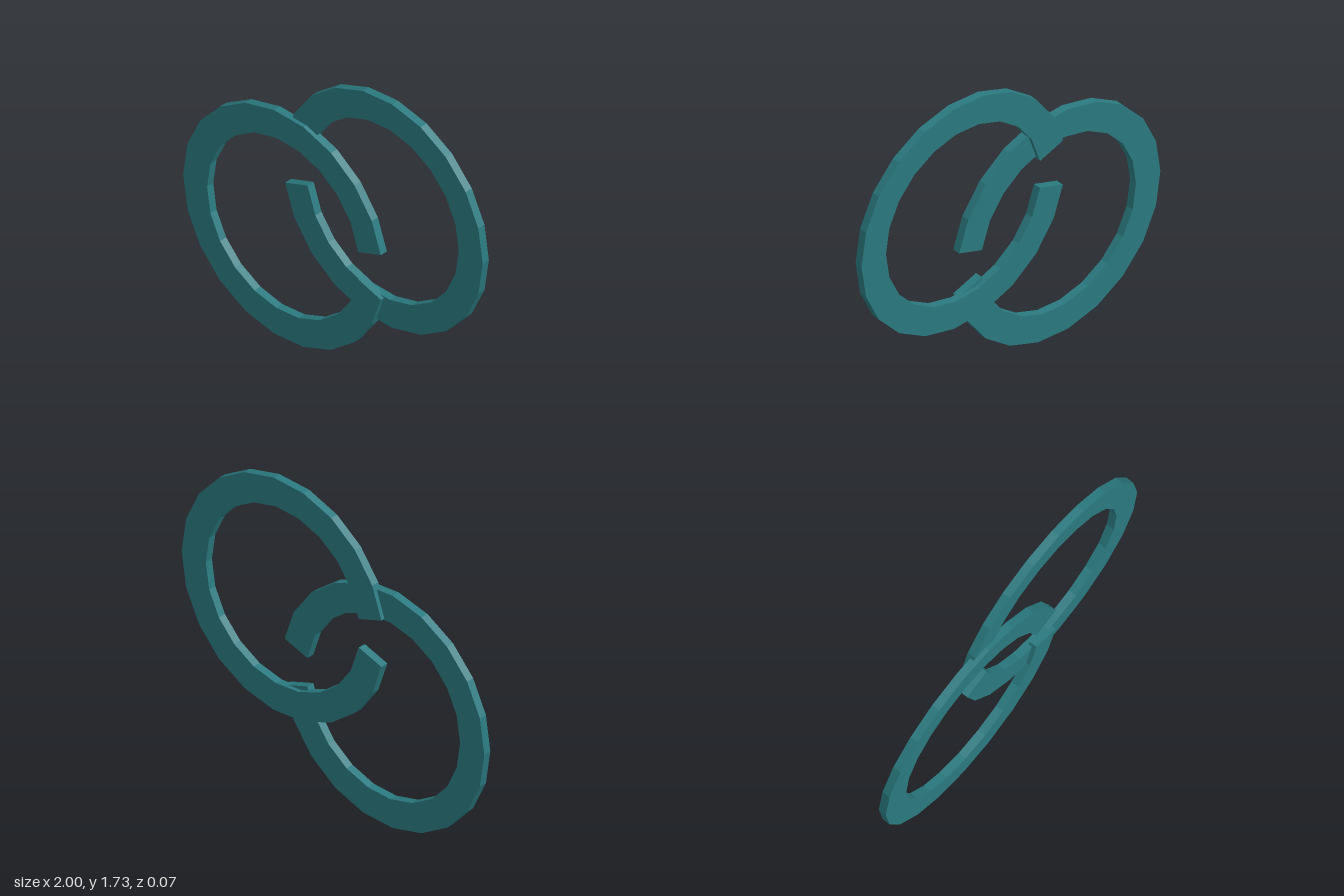
import * as THREE from 'three';

const RADIUS = 0.594, HALF_WIDTH = 0.08, THICKNESS = 0.045;
const SEGMENTS = 20, START = THREE.MathUtils.degToRad(10.5);
const STEP = (2 * Math.PI - 2 * START) / SEGMENTS;

// Flat open ring: a polygonal arc offset to both sides, mitred at the corners
// and cut square to the first and last segments. The gap faces +x.
function openRingGeometry() {
  const edge = (side) => {
    const points = [];
    for (let i = 0; i <= SEGMENTS; i++) {
      const a = START + i * STEP;
      const isEnd = i === 0 || i === SEGMENTS;
      const dir = i === 0 ? a + STEP / 2 : i === SEGMENTS ? a - STEP / 2 : a;
      const d = side * (isEnd ? HALF_WIDTH : HALF_WIDTH / Math.cos(STEP / 2));
      points.push(new THREE.Vector2(
        RADIUS * Math.cos(a) + d * Math.cos(dir),
        RADIUS * Math.sin(a) + d * Math.sin(dir)));
    }
    return points;
  };
  const shape = new THREE.Shape([...edge(1), ...edge(-1).reverse()]);
  const geometry = new THREE.ExtrudeGeometry(shape, { depth: THICKNESS, bevelEnabled: false });
  return geometry.translate(0, 0, -THICKNESS / 2);
}

export function createModel() {
  const group = new THREE.Group();
  group.name = 'interlockedRings';
  const material = new THREE.MeshStandardMaterial({ color: 0x2a7a80, flatShading: true });
  const geometry = openRingGeometry();

  // Two identical rings, each with its gap turned towards the other
  const rings = [
    { name: 'lowerFrontRing', x: -0.326, y: 0.672, z: 0.0115, turn: 0 },
    { name: 'upperBackRing', x: 0.326, y: 1.055, z: -0.0115, turn: Math.PI },
  ];
  for (const { name, x, y, z, turn } of rings) {
    const ring = new THREE.Mesh(geometry, material);
    ring.name = name;
    ring.position.set(x, y, z);
    ring.rotation.z = turn;
    group.add(ring);
  }
  return group;
}
